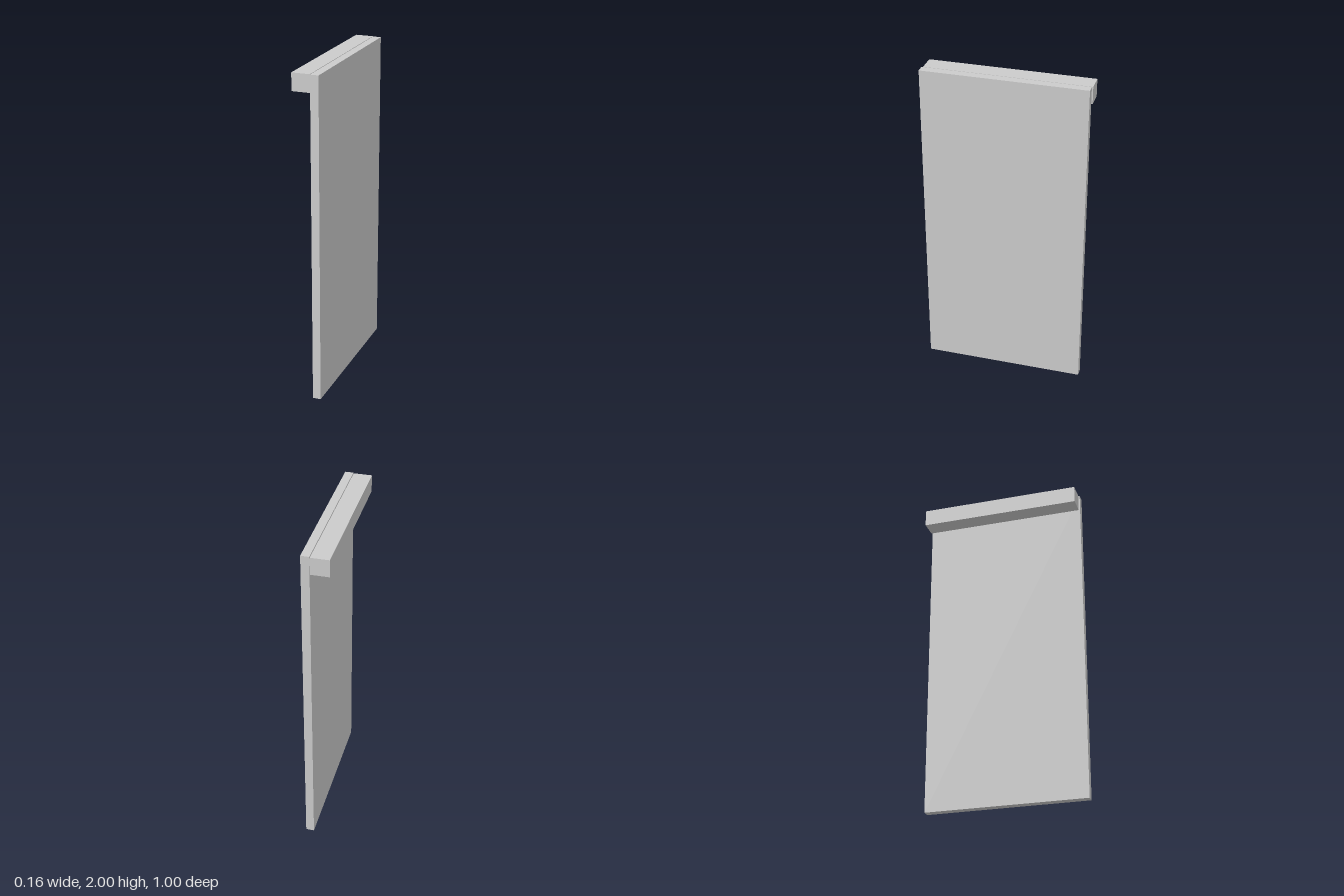
import * as THREE from 'three';

const material = new THREE.MeshStandardMaterial({ color: 0xcccccc, flatShading: true });

// Box given by its minimum and maximum corners
function block(name, min, max) {
  const size = max.map((v, i) => v - min[i]);
  const mesh = new THREE.Mesh(new THREE.BoxGeometry(...size), material);
  mesh.position.set(...max.map((v, i) => (v + min[i]) / 2));
  mesh.name = name;
  return mesh;
}

export function createModel() {
  const group = new THREE.Group();
  group.name = 'slidingDoor';

  // Tall flat door leaf
  group.add(block('doorPanel', [0.032, 0, -0.494], [0.082, 2, 0.501]));

  // Rail along the top, with a narrow gap to the leaf
  group.add(block('topRail', [-0.082, 1.895, -0.501], [0.028, 2, 0.493]));

  return group;
}
